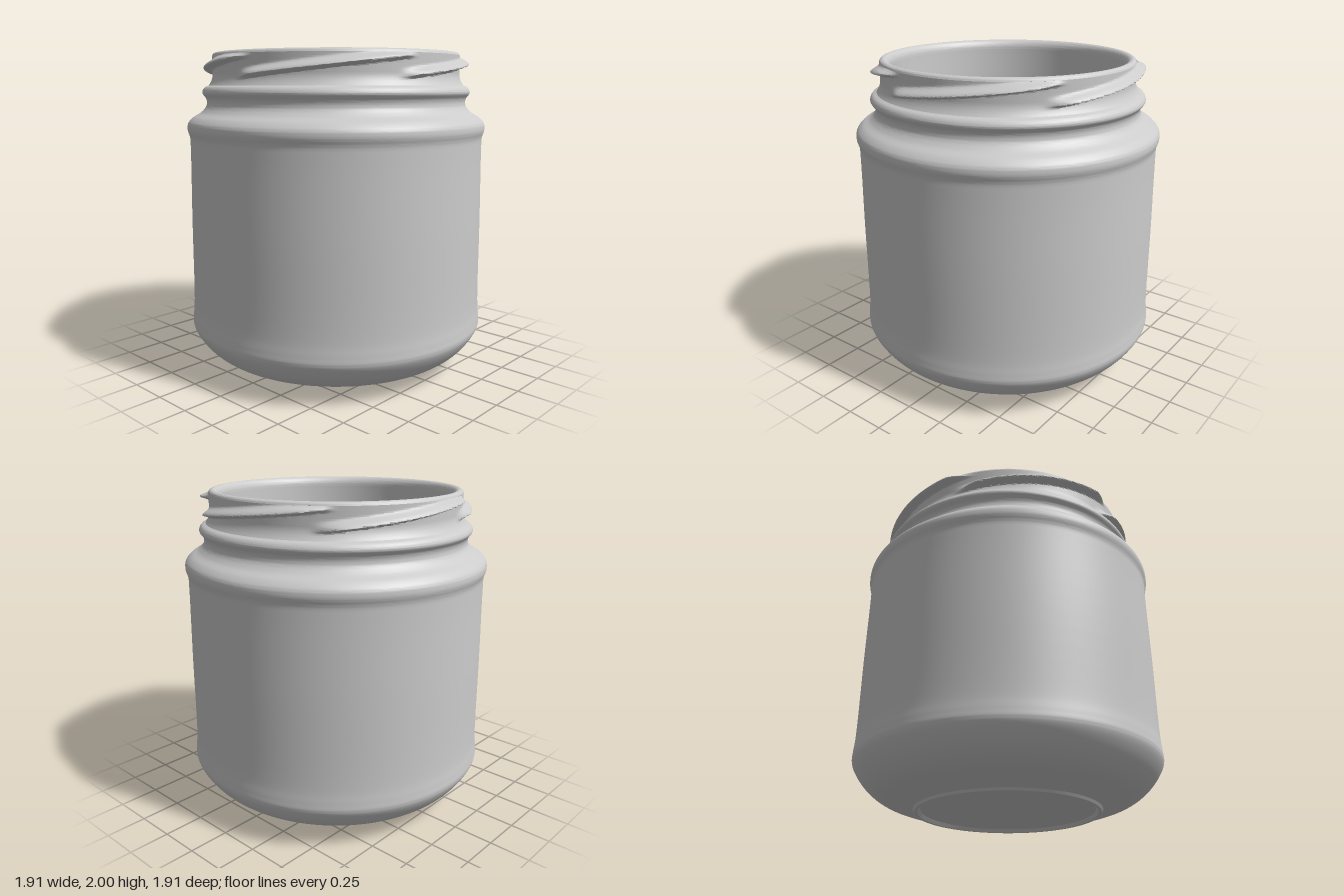
import * as THREE from 'three';
import { toCreasedNormals } from 'three/addons/utils/BufferGeometryUtils.js';

const SEGMENTS = 180;
const THREADS = 5;

// Smooth run of profile points [radius, height]
function smooth(points, count) {
  const curve = new THREE.CatmullRomCurve3(points.map(([r, y]) => new THREE.Vector3(r, y, 0)));
  return curve.getPoints(count).map((p) => new THREE.Vector2(p.x, p.y));
}

function lathe(name, profile) {
  const geometry = new THREE.LatheGeometry(profile, SEGMENTS);
  const mesh = new THREE.Mesh(geometry, new THREE.MeshStandardMaterial({ color: 0xcccccc, side: THREE.DoubleSide }));
  mesh.name = name;
  return mesh;
}

function crease(mesh) {
  mesh.geometry.deleteAttribute('uv');
  mesh.geometry = toCreasedNormals(mesh.geometry, 0.6);
  return mesh;
}

// Outward swell of the slanted screw threads at angle a (degrees from +z towards +x)
function threadSwell(a, y) {
  const span = 83, pitch = 360 / THREADS;
  let swell = 0;
  const first = (((a + 76) % pitch) + pitch) % pitch;
  for (let d = first; d < span; d += pitch) {
    const crest = 1.845 + 0.125 * (d / span);
    const dy = y - crest;
    const t = Math.abs(dy) / (dy < 0 ? 0.022 : 0.05);
    const fade = THREE.MathUtils.smoothstep(Math.min(d, span - d), 0, 14);
    if (t < 1) swell = Math.max(swell, 0.055 * fade * (0.5 + 0.5 * Math.cos(Math.PI * t)));
  }
  return swell * (1 - THREE.MathUtils.smoothstep(y, 1.96, 1.985));
}

export function createModel() {
  const jar = new THREE.Group();
  jar.name = 'jar';

  // Recessed underside with a standing ring
  jar.add(crease(lathe('base', [
    ...smooth([[0, 0.045], [0.3, 0.042], [0.42, 0.03], [0.53, 0.02]], 12),
    new THREE.Vector2(0.545, 0), new THREE.Vector2(0.565, 0), new THREE.Vector2(0.575, 0.015),
  ])));

  // Outer wall: rounded heel, straight side, shoulder and neck bead
  jar.add(crease(lathe('outerWall', smooth([
    [0.575, 0.015], [0.66, 0.04], [0.78, 0.08], [0.86, 0.135], [0.92, 0.205], [0.953, 0.27],
    [0.952, 0.32], [0.945, 0.4], [0.94, 0.95], [0.934, 1.42], [0.936, 1.48], [0.949, 1.525],
    [0.945, 1.565], [0.915, 1.6], [0.86, 1.635], [0.828, 1.675], [0.828, 1.715], [0.852, 1.755],
    [0.838, 1.785], [0.81, 1.8],
  ], 110))));

  // Threaded neck: plain lathe whose vertices are pushed out along slanted ridges
  const neckProfile = [];
  for (let i = 0; i <= 36; i++) {
    const y = 1.8 + (0.18 * i) / 36;
    neckProfile.push(new THREE.Vector2(0.785 + 0.025 * Math.pow(1 - Math.min(1, i / 14), 2), y));
  }
  const neck = lathe('threadedNeck', neckProfile);
  const pos = neck.geometry.attributes.position;
  for (let i = 0; i < pos.count; i++) {
    const x = pos.getX(i), y = pos.getY(i), z = pos.getZ(i);
    const r = Math.hypot(x, z);
    const k = 1 + threadSwell(THREE.MathUtils.radToDeg(Math.atan2(x, z)), y) / r;
    pos.setXYZ(i, x * k, y, z * k);
  }
  jar.add(crease(neck));

  // Rounded lip
  jar.add(crease(lathe('rim', smooth([
    [0.785, 1.98], [0.778, 1.993], [0.76, 2], [0.738, 1.99], [0.723, 1.965], [0.72, 1.94],
  ], 18))));

  // Inner wall: straight throat flaring into the body, then curving to the floor
  jar.add(crease(lathe('innerWall', smooth([
    [0.72, 1.94], [0.72, 1.64], [0.735, 1.55], [0.775, 1.49], [0.835, 1.44], [0.862, 1.38],
    [0.86, 1.2], [0.85, 0.5], [0.835, 0.33], [0.78, 0.21], [0.7, 0.15], [0.55, 0.09],
  ], 70))));

  // Inner floor
  jar.add(crease(lathe('floor', smooth([[0.55, 0.09], [0.42, 0.09], [0.3, 0.1], [0, 0.105]], 12))));
  return jar;
}
